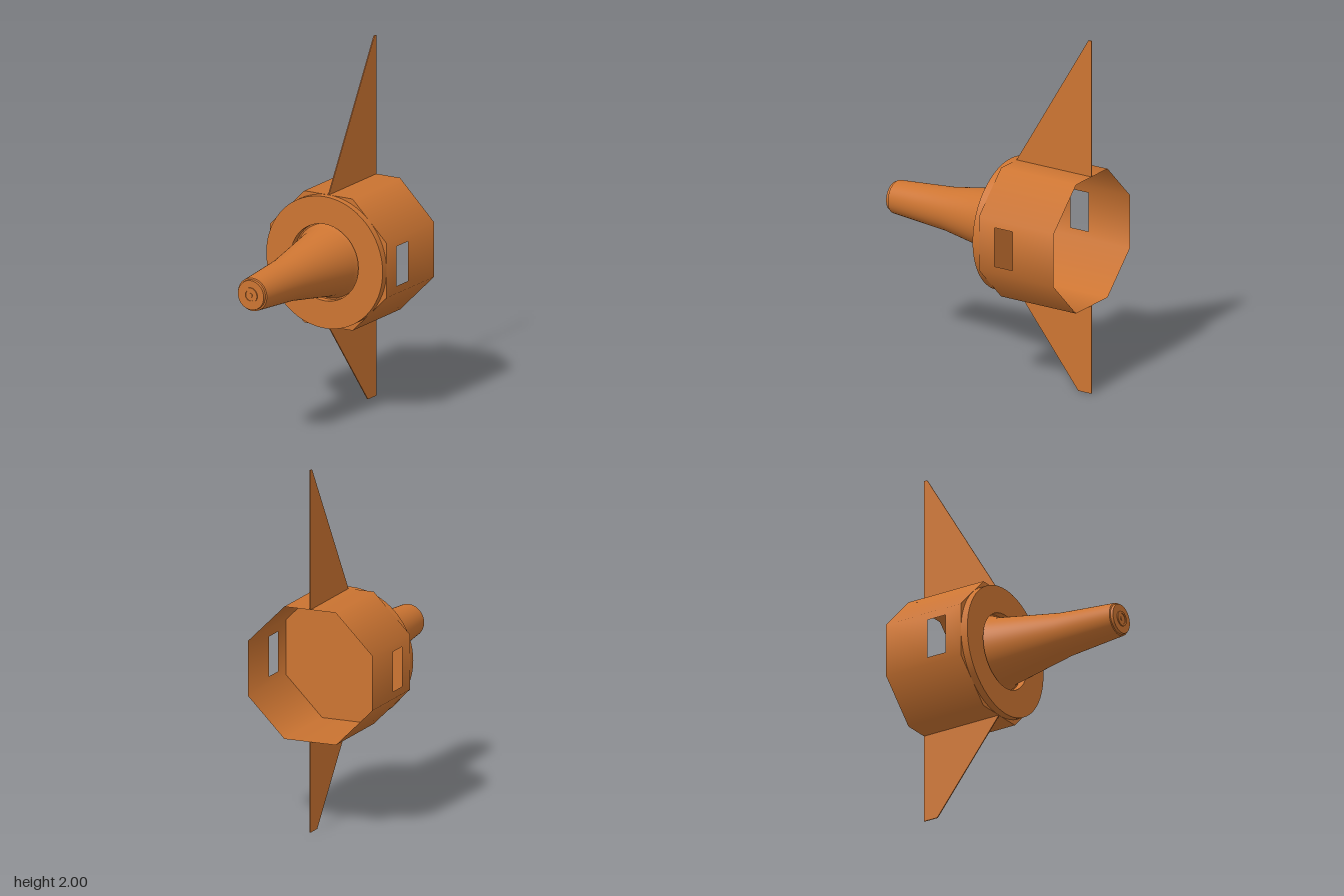
import * as THREE from 'three';
import { mergeGeometries } from 'three/addons/utils/BufferGeometryUtils.js';

const AXIS_Y = 0.865;          // height of the body axis
const R = 0.365;               // apothem of the octagonal shell
const BACK = -0.635, WALL = -0.155, FRONT = -0.115;

const material = new THREE.MeshStandardMaterial({ color: 0xcd7532, side: THREE.DoubleSide });

function part(name, geometry, y = AXIS_Y) {
  const mesh = new THREE.Mesh(geometry, material);
  mesh.name = name;
  mesh.position.y = y;
  return mesh;
}

const points = (list) => list.map(([a, b]) => new THREE.Vector2(a, b));

// Turned solid along z; every [radius, z] run keeps a sharp edge to the next one
function turned(runs) {
  return mergeGeometries(runs.map((run) =>
    new THREE.LatheGeometry(points(run), 64).rotateX(Math.PI / 2)));
}

// Consecutive points as separate runs
const sharp = (list) => list.slice(1).map((p, i) => [list[i], p]);

// One flat side of the shell, with normals that blend into its neighbours
function shellPanel(k) {
  const h = R * Math.tan(Math.PI / 8);
  const shape = new THREE.Shape(points([[-h, BACK], [h, BACK], [h, WALL], [-h, WALL]]));
  if (k % 4 === 2) {
    shape.holes.push(new THREE.Path(points(
      [[-0.11, -0.37], [-0.11, -0.255], [0.11, -0.255], [0.11, -0.37]])));
  }
  const geometry = new THREE.ShapeGeometry(shape);
  const { position, normal } = geometry.attributes;
  const n = new THREE.Vector3();
  for (let i = 0; i < position.count; i++) {
    n.set(position.getX(i), 0, R).normalize();
    normal.setXYZ(i, n.x, n.y, n.z);
  }
  return geometry.translate(0, 0, R).rotateX(Math.PI / 2).rotateZ(k * Math.PI / 4);
}

// Thin fin drawn as [z, y] outline
function fin(outline) {
  const t = 0.006;
  return new THREE.ExtrudeGeometry(new THREE.Shape(points(outline)), { depth: t, bevelEnabled: false })
    .translate(0, 0, -t / 2).rotateY(-Math.PI / 2);
}

export function createModel() {
  const model = new THREE.Group();
  model.name = 'finnedBody';

  // Octagonal shell, open at the back, with a window on each side
  model.add(part('shell', mergeGeometries([...Array(8).keys()].map(shellPanel))));

  // Octagonal wall closing the front of the shell
  const corner = R / Math.cos(Math.PI / 8);
  const wall = new THREE.CircleGeometry(corner, 8, Math.PI / 8).translate(0, 0, WALL);
  model.add(part('frontWall', wall));

  // Round collar with a hole around the nose
  model.add(part('collar', turned(sharp(
    [[R, WALL], [R, FRONT], [0.2125, FRONT], [0.2125, WALL]]))));

  // Tapered nose with a stepped tip
  model.add(part('nose', turned([
    [[0.205, WALL], [0.186, FRONT], [0.15, 0.09], [0.119, 0.27], [0.105, 0.44], [0.091, 0.612]],
    ...sharp([[0.091, 0.612], [0.083, 0.614], [0.081, 0.629], [0, 0.629]]),
  ])));
  model.add(part('noseCap', turned(sharp(
    [[0.042, 0.629], [0.042, 0.635], [0.03, 0.635], [0.03, 0.631], [0.012, 0.631], [0.012, 0.635], [0, 0.635]]))));

  // Tall upper fin and shorter lower fin
  const top = AXIS_Y + R, bottom = AXIS_Y - R;
  model.add(part('upperFin', fin([[WALL, top], [-0.615, 2], [BACK, 2], [BACK, top]]), 0));
  model.add(part('lowerFin', fin([[WALL, bottom], [BACK, bottom], [BACK, 0], [-0.55, 0]]), 0));

  return model;
}
